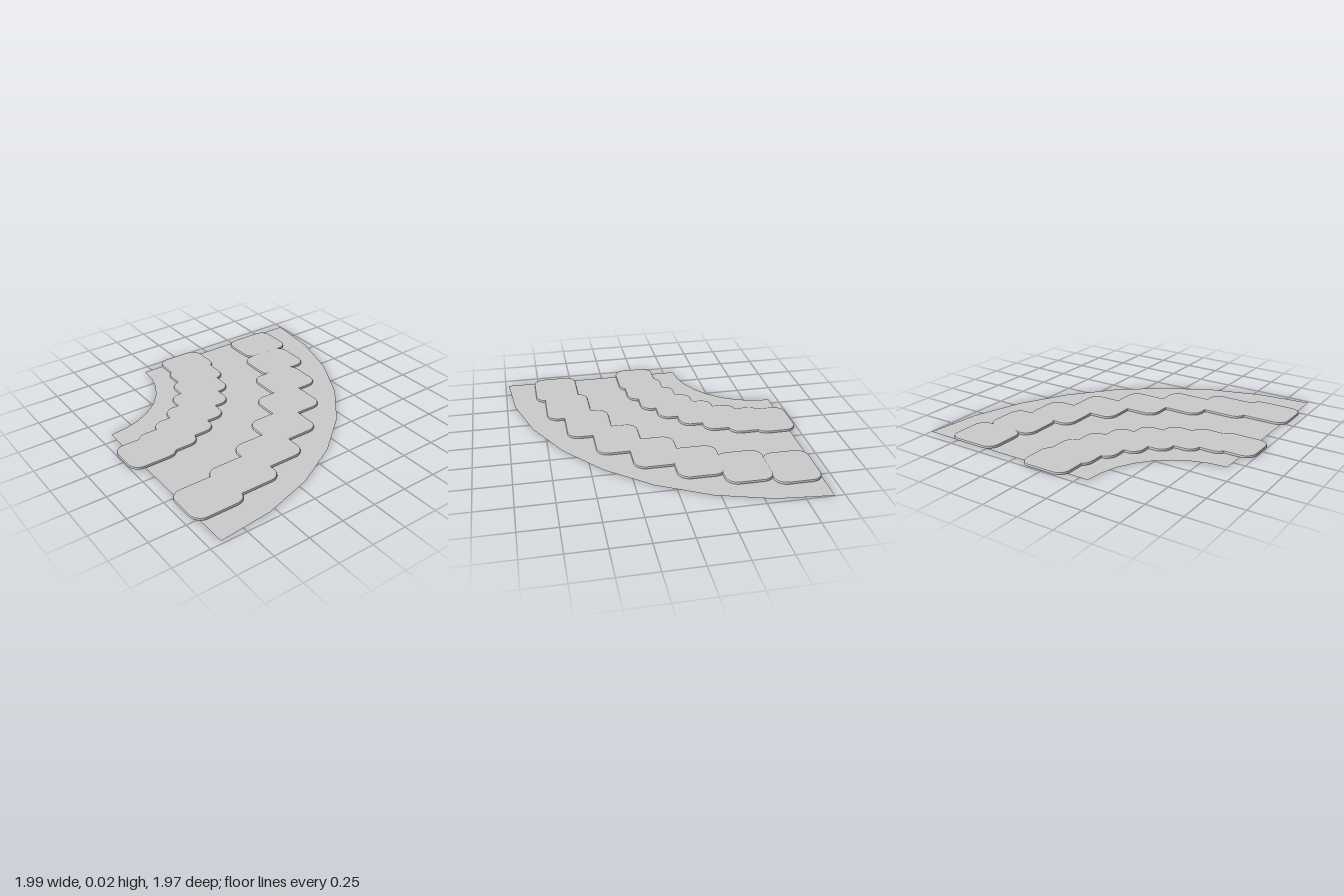
import * as THREE from 'three';

const CENTRE_X = -0.915, CENTRE_Z = -0.935; // centre of the bend
const HEIGHT = 0.017, BEVEL = 0.01, COUNT = 8;
const material = new THREE.MeshStandardMaterial({ color: 0xcccccc, side: THREE.DoubleSide, flatShading: true });

// Rounded slab lying on y = 0 with a bevelled top edge
function slabGeometry(width, depth, radius) {
  const x = width / 2 - BEVEL, y = depth / 2 - BEVEL, r = radius - BEVEL;
  const shape = new THREE.Shape();
  shape.absarc(x - r, y - r, r, 0, Math.PI / 2);
  shape.absarc(-x + r, y - r, r, Math.PI / 2, Math.PI);
  shape.absarc(-x + r, -y + r, r, Math.PI, Math.PI * 1.5);
  shape.absarc(x - r, -y + r, r, Math.PI * 1.5, Math.PI * 2);
  const geometry = new THREE.ExtrudeGeometry(shape, {
    depth: HEIGHT - BEVEL, bevelThickness: BEVEL, bevelSize: BEVEL, bevelSegments: 2, curveSegments: 6,
  });
  geometry.rotateX(-Math.PI / 2);
  // Flatten the lower bevel so the underside is level
  const p = geometry.attributes.position;
  for (let i = 0; i < p.count; i++) p.setY(i, Math.max(0, p.getY(i)));
  geometry.computeVertexNormals();
  return geometry;
}

// Row of axis-aligned slabs overlapping along a quarter circle
function slabRow(name, arcRadius, width, depth) {
  const row = new THREE.Group();
  row.name = name;
  const geometry = slabGeometry(width, depth, 0.08);
  for (let i = 0; i < COUNT; i++) {
    const angle = ((i + 0.5) / COUNT) * Math.PI / 2;
    const slab = new THREE.Mesh(geometry, material);
    slab.name = 'slab';
    slab.position.set(CENTRE_X + arcRadius * Math.sin(angle), 0, CENTRE_Z + arcRadius * Math.cos(angle));
    row.add(slab);
  }
  return row;
}

export function createModel() {
  const group = new THREE.Group();
  group.name = 'curvedPath';

  // Flat quarter-ring ground sheet
  const sheet = new THREE.RingGeometry(0.607, 1.913, COUNT, 1, -Math.PI / 2, Math.PI / 2);
  sheet.rotateX(-Math.PI / 2);
  const ground = new THREE.Mesh(sheet, material);
  ground.name = 'groundSheet';
  ground.position.set(CENTRE_X, 0, CENTRE_Z);
  group.add(ground);

  group.add(slabRow('innerTrack', 0.93, 0.343, 0.29));
  group.add(slabRow('outerTrack', 1.563, 0.37, 0.317));
  return group;
}
